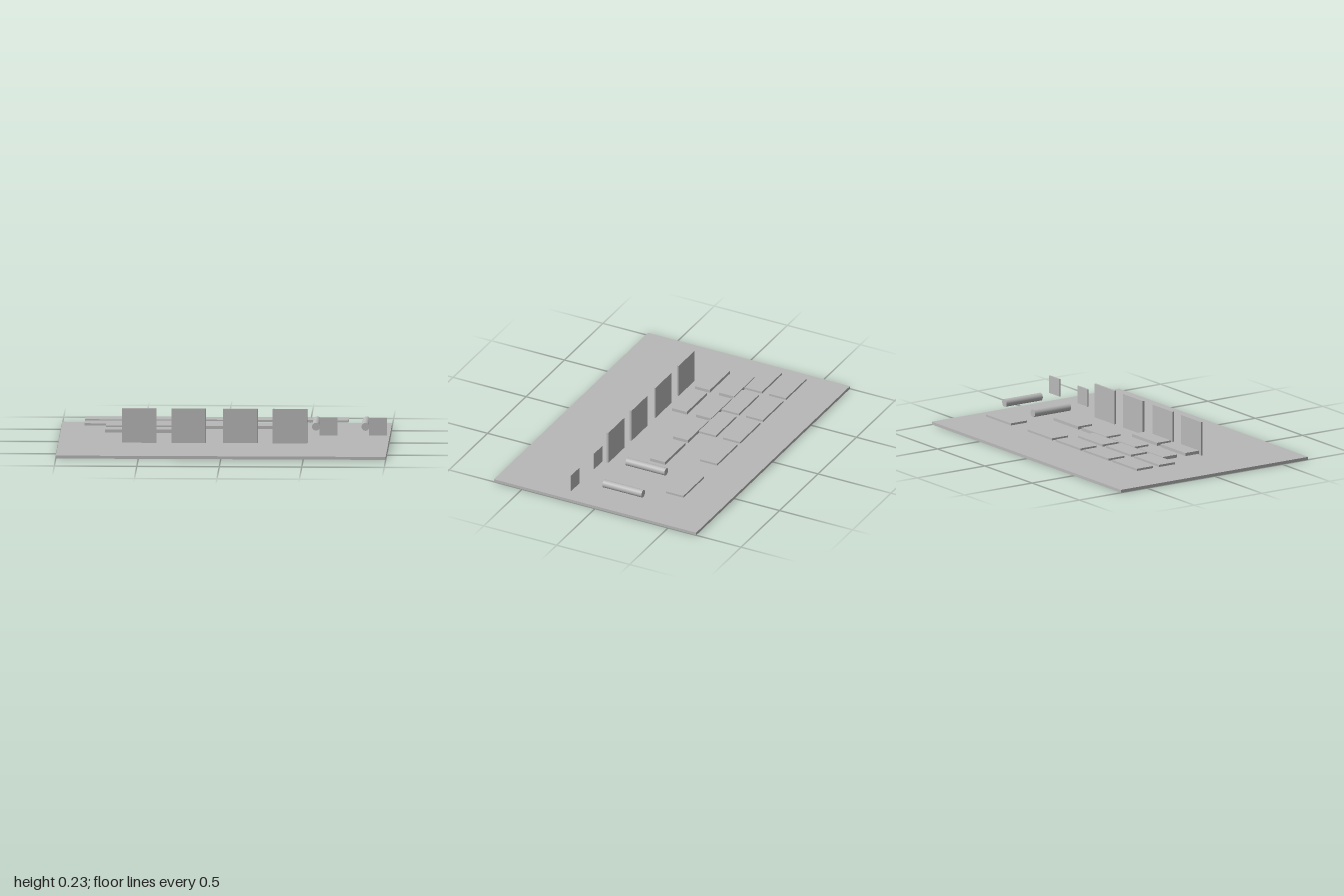
import * as THREE from 'three';

export function createModel() {
  const model = new THREE.Group();
  const grey = new THREE.MeshStandardMaterial({ color: 0xb8b8b8 });
  grey.name = 'plainGrey';

  const add = (name, geometry, x, y, z) => {
    const mesh = new THREE.Mesh(geometry, grey);
    mesh.name = name;
    mesh.position.set(x, y, z);
    model.add(mesh);
    return mesh;
  };

  // Flat ground slab
  add('baseSlab', new THREE.BoxGeometry(2, 0.018, 1.384), 0, 0.009, 0);

  // Rows of floating flat tiles
  const thinTile = new THREE.BoxGeometry(0.264, 0.013, 0.118);
  const thickTile = new THREE.BoxGeometry(0.264, 0.019, 0.102);
  const rows = [
    { name: 'backTile', geo: thinTile, z: -0.412, xs: [-0.72, -0.421, -0.123, 0.175, 0.613] },
    { name: 'secondRowTile', geo: thinTile, z: -0.247, xs: [-0.72, -0.421, -0.123] },
    { name: 'thirdRowTile', geo: thickTile, z: -0.134, xs: [-0.587, -0.288, 0.01, 0.309] },
    { name: 'frontTile', geo: thickTile, z: 0.032, xs: [-0.587, -0.288] },
  ];
  for (const { name, geo, z, xs } of rows) {
    for (const x of xs) add(name, geo, x, 0.0785, z);
  }

  // Upright square panels
  const panel = new THREE.BoxGeometry(0.209, 0.21, 0.012);
  for (const x of [-0.51, -0.21, 0.105, 0.405]) add('uprightPanel', panel, x, 0.127, 0.174);

  // Small panels and the rods behind them
  const smallPanel = new THREE.BoxGeometry(0.109, 0.109, 0.008);
  for (const x of [0.638, 0.938]) add('smallPanel', smallPanel, x, 0.126, 0.173);

  const rod = new THREE.CylinderGeometry(0.024, 0.024, 0.267, 32);
  rod.rotateX(Math.PI / 2);
  for (const x of [0.558, 0.858]) add('rod', rod, x, 0.1, -0.121);

  return model;
}
